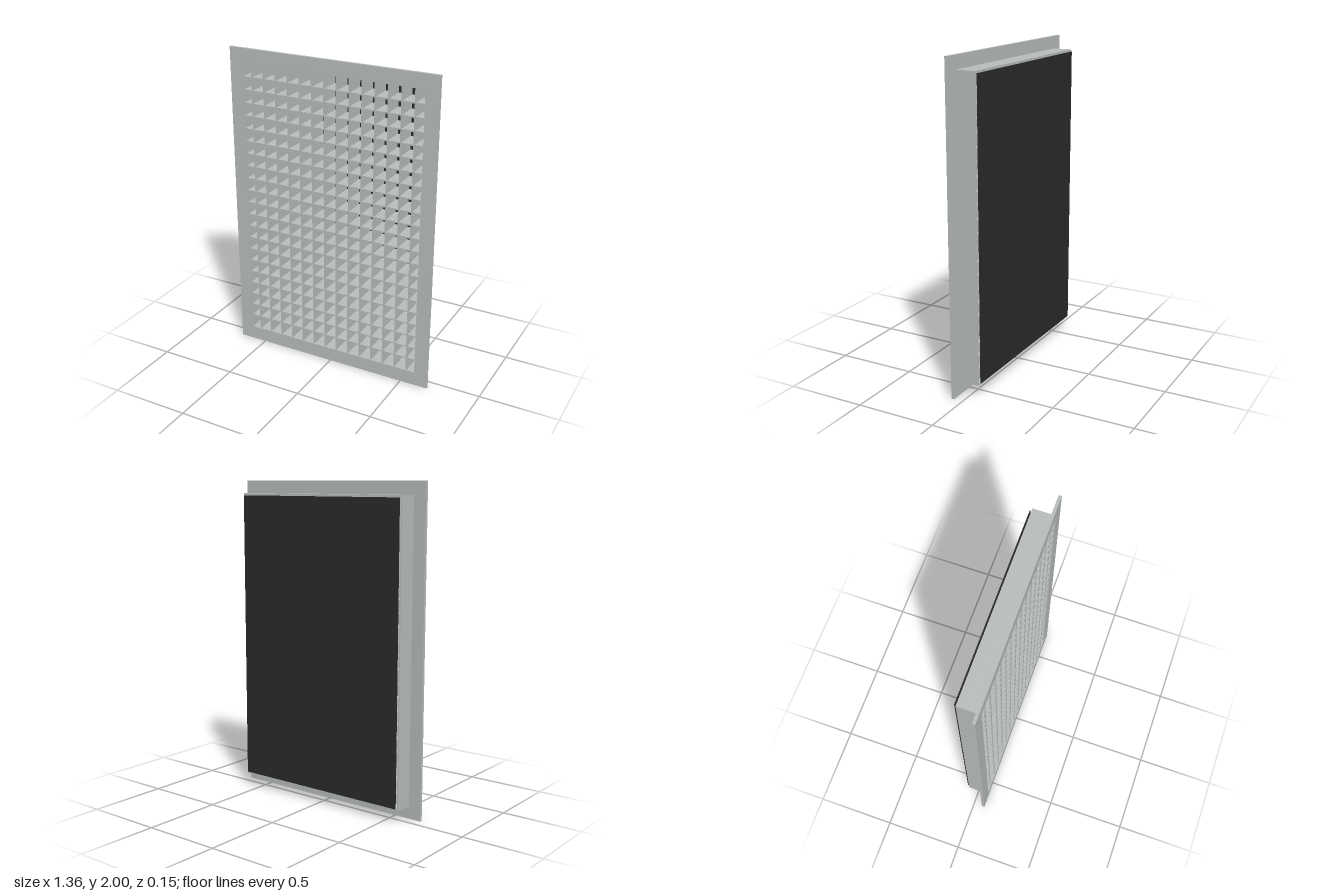
import * as THREE from 'three';

const W = 1.36, H = 2, PITCH = 0.0823;
const OPEN_W = 1.186, OPEN_H = 1.82;      // clear opening
const NECK_W = 1.2, NECK_H = 1.84;        // outside of the neck
const FRONT = 0.075, FLANGE_BACK = 0.057, NECK_BACK = -0.063;

// Rectangular ring extruded from zBack to zFront
function ring(w, h, innerW, innerH, zBack, zFront) {
  const rect = (target, a, b) => target
    .moveTo(-a / 2, -b / 2).lineTo(a / 2, -b / 2)
    .lineTo(a / 2, b / 2).lineTo(-a / 2, b / 2).closePath();
  const shape = new THREE.Shape();
  rect(shape, w, h);
  const hole = new THREE.Path();
  rect(hole, innerW, innerH);
  shape.holes.push(hole);
  const geo = new THREE.ExtrudeGeometry(shape, { depth: zFront - zBack, bevelEnabled: false });
  return geo.translate(0, H / 2, zBack);
}

export function createModel() {
  const metal = new THREE.MeshStandardMaterial({ color: 0xb9bebd });
  metal.name = 'grey metal';
  const black = new THREE.MeshStandardMaterial({ color: 0x2b2b2b });
  black.name = 'black backing';

  const model = new THREE.Group();
  model.name = 'ventGrille';
  const add = (name, geo, mat, parent = model) => {
    const mesh = new THREE.Mesh(geo, mat);
    mesh.name = name;
    parent.add(mesh);
    return mesh;
  };

  // Front flange and the neck behind it
  add('flange', ring(W, H, OPEN_W, OPEN_H, FLANGE_BACK, FRONT), metal);
  add('neck', ring(NECK_W, NECK_H, OPEN_W, OPEN_H, NECK_BACK, FLANGE_BACK), metal);

  // Egg-crate core of crossing slats
  const core = new THREE.Group();
  core.name = 'eggCrateCore';
  model.add(core);
  const thick = 0.008, zFront = 0.07, zBack = NECK_BACK + 0.001;
  const depth = zFront - zBack, zMid = (zFront + zBack) / 2;
  const upright = new THREE.BoxGeometry(thick, OPEN_H, depth);
  const level = new THREE.BoxGeometry(OPEN_W, thick, depth - 0.001);
  for (let i = 0; i < 14; i++) {
    add('verticalSlat', upright, metal, core).position.set((i - 6.5) * PITCH, H / 2, zMid);
  }
  for (let j = -10; j <= 10; j++) {
    add('horizontalSlat', level, metal, core).position.set(0, H / 2 + j * PITCH, zMid);
  }

  // Thin dark panel just behind the neck
  add('backPanel', new THREE.BoxGeometry(1.178, 1.815, 0.006), black).position.set(0, H / 2, -0.072);

  return model;
}
